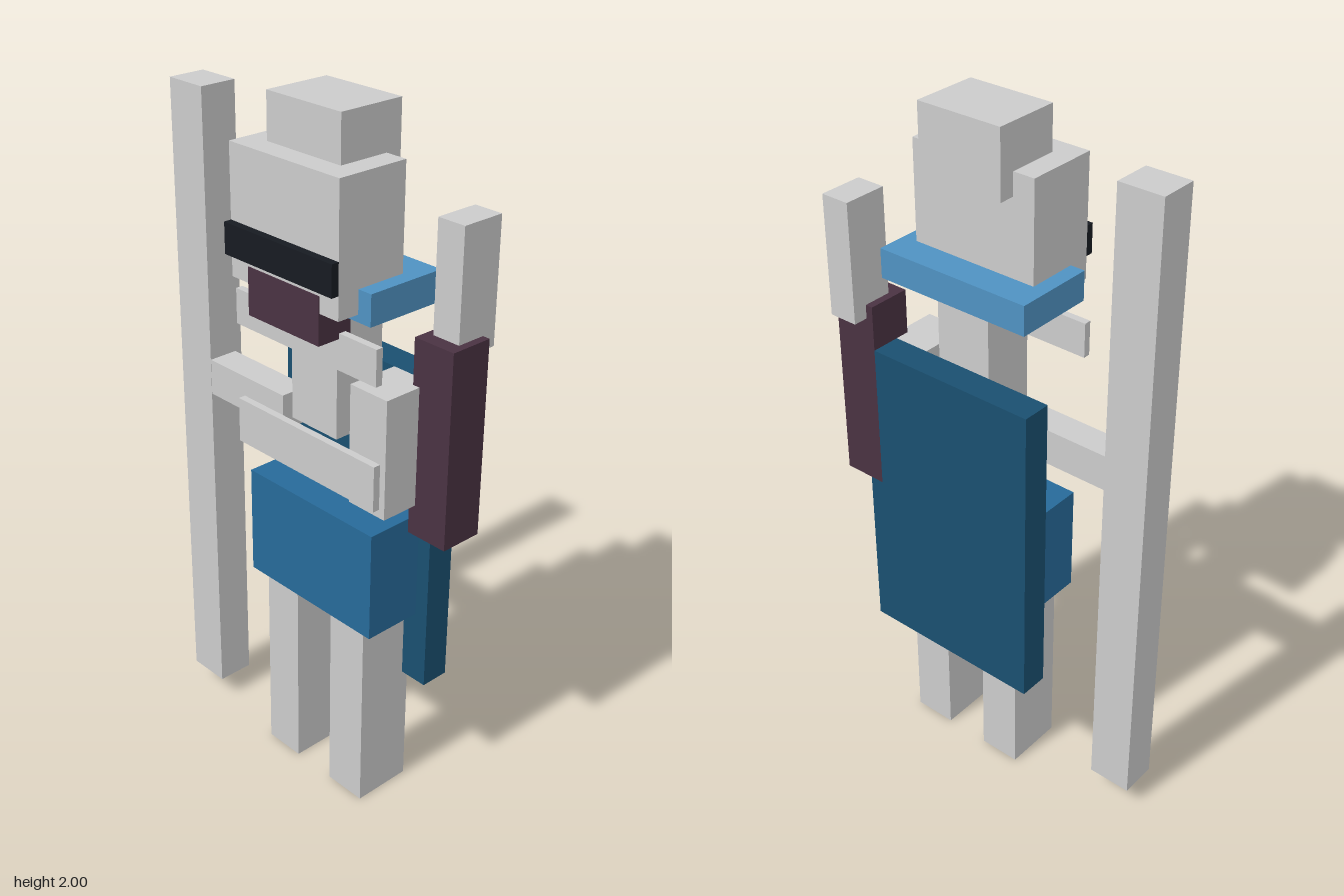
import * as THREE from 'three';

const material = (color) => new THREE.MeshStandardMaterial({ color, flatShading: true });

export function createModel() {
  const model = new THREE.Group();
  model.name = 'blockyFigureWithStaff';

  const grey = material(0xcccccc);
  const navy = material(0x1a4f70);
  const blue = material(0x276a99);
  const lightBlue = material(0x4f92c2);
  const maroon = material(0x4a3242);
  const black = material(0x171b22);

  // Box spanning the given ranges on x, y and z
  const block = (name, mat, [x0, x1], [y0, y1], [z0, z1]) => {
    const mesh = new THREE.Mesh(new THREE.BoxGeometry(x1 - x0, y1 - y0, z1 - z0), mat);
    mesh.position.set((x0 + x1) / 2, (y0 + y1) / 2, (z0 + z1) / 2);
    mesh.name = name;
    model.add(mesh);
  };

  // Legs and shorts
  block('rightLeg', grey, [-0.098, 0.027], [0, 0.6], [-0.097, 0.08]);
  block('leftLeg', grey, [0.163, 0.292], [0, 0.6], [-0.097, 0.08]);
  block('shorts', blue, [-0.142, 0.335], [0.595, 0.915], [-0.077, 0.1]);

  // Torso, chest bands and cape
  block('torso', grey, [0.01, 0.18], [1.13, 1.53], [-0.077, 0.08]);
  block('upperBand', grey, [-0.165, 0.357], [1.355, 1.455], [0.097, 0.118]);
  block('lowerBand', grey, [-0.165, 0.357], [1.005, 1.135], [0.097, 0.118]);
  block('cape', navy, [-0.185, 0.377], [0.375, 1.305], [-0.163, -0.077]);
  block('collar', lightBlue, [-0.142, 0.335], [1.505, 1.59], [-0.12, 0.118]);

  // Head
  block('head', grey, [-0.098, 0.292], [1.525, 1.875], [-0.03, 0.183]);
  block('topknot', grey, [-0.033, 0.227], [1.81, 2], [-0.077, 0.118]);
  block('visor', black, [-0.098, 0.292], [1.59, 1.675], [0.183, 0.205]);
  block('beard', maroon, [-0.033, 0.227], [1.44, 1.57], [0.08, 0.186]);

  // Left arm, raised behind the shoulder
  block('leftUpperArm', grey, [0.227, 0.357], [0.965, 1.305], [-0.077, 0.078]);
  block('leftSleeve', maroon, [0.335, 0.465], [0.875, 1.435], [-0.163, -0.035]);
  block('leftHand', grey, [0.357, 0.443], [1.395, 1.74], [-0.206, -0.077]);

  // Right arm holding the staff
  block('rightArm', grey, [-0.34, -0.035], [1.07, 1.175], [-0.013, 0.074]);
  block('staff', grey, [-0.468, -0.338], [0.07, 1.94], [-0.035, 0.075]);

  return model;
}
